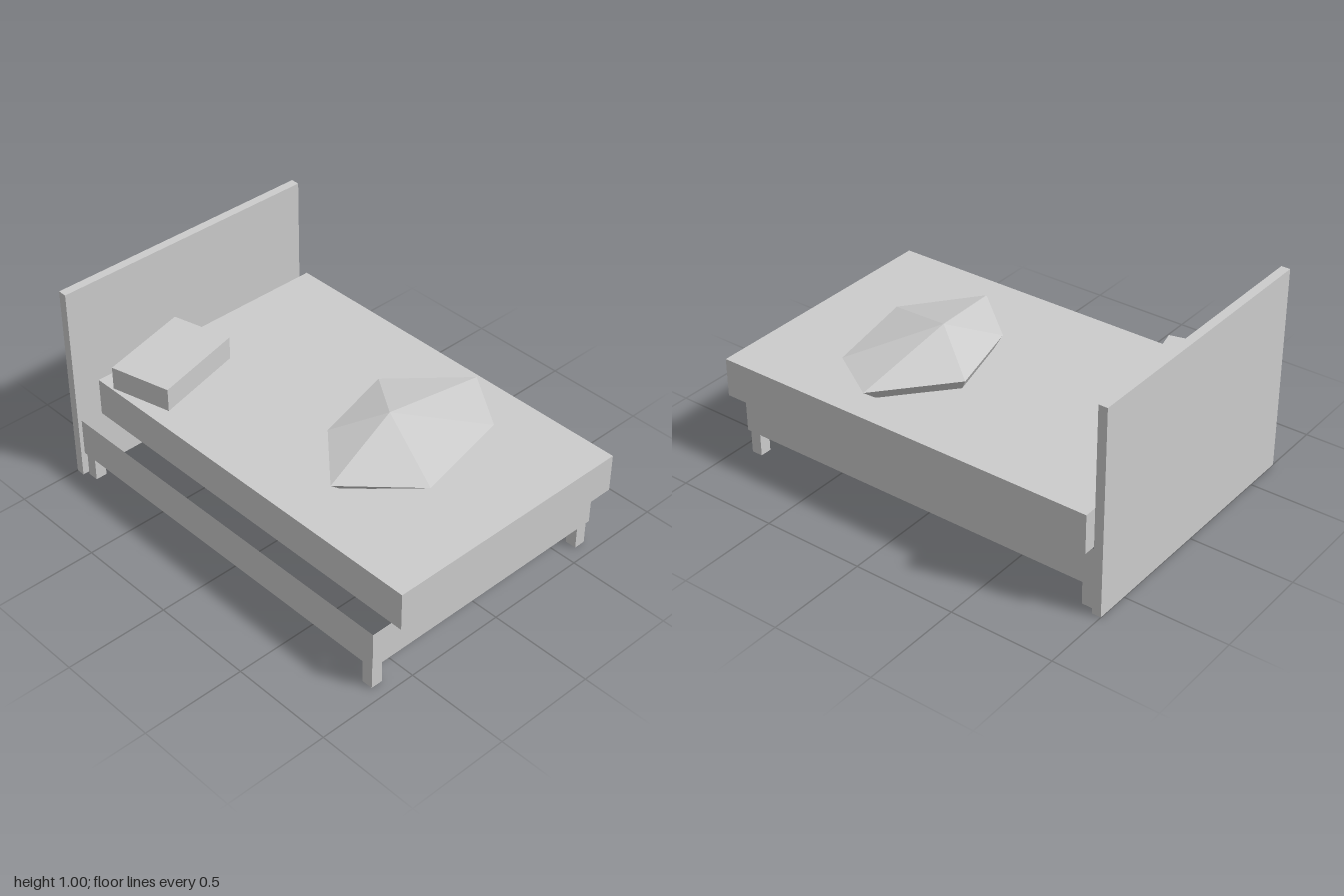
import * as THREE from 'three';

const grey = new THREE.MeshStandardMaterial({ color: 0xcccccc, side: THREE.DoubleSide, flatShading: true });
grey.name = 'plain grey';

// Box given by its extents; omit lists the faces left open
const FACES = ['right', 'left', 'top', 'bottom', 'front', 'back'];
function box(name, [x0, x1], [y0, y1], [z0, z1], omit = []) {
  const geometry = new THREE.BoxGeometry(x1 - x0, y1 - y0, z1 - z0);
  const index = Array.from(geometry.index.array);
  geometry.setIndex(index.filter((_, i) => !omit.includes(FACES[Math.floor(i / 6)])));
  geometry.clearGroups();
  const mesh = new THREE.Mesh(geometry, grey);
  mesh.name = name;
  mesh.position.set((x0 + x1) / 2, (y0 + y1) / 2, (z0 + z1) / 2);
  return mesh;
}

// Six-sided crumpled blanket: peak, wide rim, and tapered underside
function blanket() {
  const peak = [0.075, 0.645, 0.265];
  const rim = [
    [-0.37, 0.553, 0.37], [-0.125, 0.555, 0.09], [0.287, 0.56, -0.02],
    [0.617, 0.558, 0.268], [0.435, 0.543, 0.545], [-0.062, 0.536, 0.65],
  ];
  const baseY = 0.475;
  const base = rim.map(([x, , z]) => [peak[0] + (x - peak[0]) * 0.81, baseY, peak[2] + (z - peak[2]) * 0.81]);
  const middle = [peak[0], baseY, peak[2]];
  const points = [];
  for (let i = 0; i < 6; i++) {
    const j = (i + 1) % 6;
    points.push(peak, rim[j], rim[i]);
    points.push(rim[i], rim[j], base[j], rim[i], base[j], base[i]);
    points.push(middle, base[i], base[j]);
  }
  const geometry = new THREE.BufferGeometry();
  geometry.setAttribute('position', new THREE.Float32BufferAttribute(points.flat(), 3));
  geometry.computeVertexNormals();
  const mesh = new THREE.Mesh(geometry, grey);
  mesh.name = 'blanket';
  return mesh;
}

export function createModel() {
  const bed = new THREE.Group();
  bed.name = 'bed';

  bed.add(box('headboard', [-0.695, 0.665], [0, 1], [-1, -0.957]));

  // Open ring of rails, and a mattress shell open underneath
  bed.add(box('bedFrame', [-0.677, 0.648], [0.12, 0.307], [-0.955, 0.945], ['top', 'bottom']));
  bed.add(box('mattress', [-0.575, 0.695], [0.307, 0.495], [-0.937, 1], ['bottom']));

  // Hollow legs
  for (const x of [-0.672, 0.58]) {
    for (const z of [-0.942, 0.882]) {
      bed.add(box('leg', [x, x + 0.057], [0, 0.12], [z, z + 0.055], ['top', 'bottom']));
    }
  }

  // Pillow, laid slightly askew
  const pillow = box('pillow', [-0.535, -0.065], [0.495, 0.61], [-0.903, -0.597]);
  pillow.rotation.y = 0.247;
  bed.add(pillow);

  bed.add(blanket());
  return bed;
}
